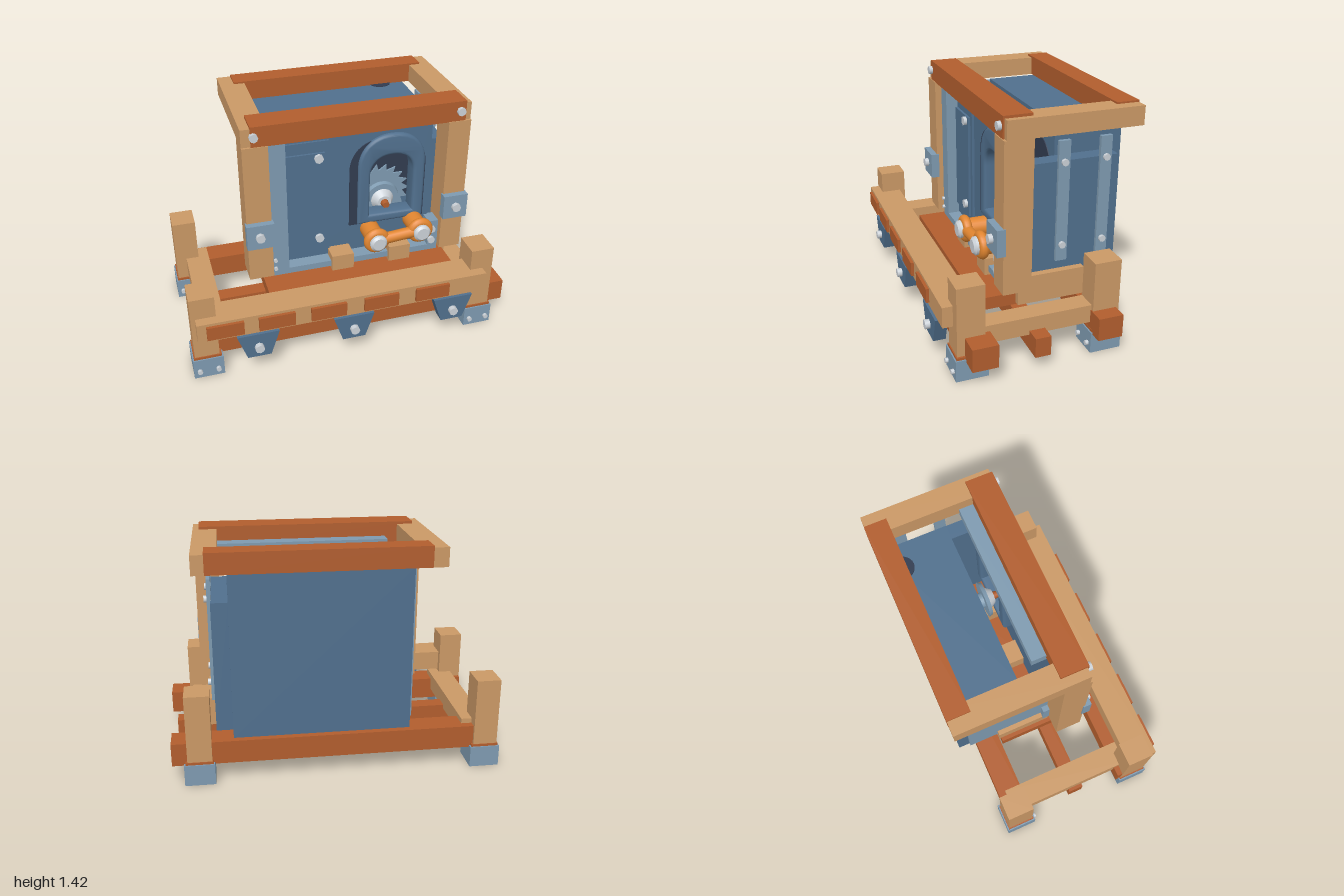
import * as THREE from 'three';
import { toCreasedNormals } from 'three/addons/utils/BufferGeometryUtils.js';

const mat = (name, color) => {
  const m = new THREE.MeshStandardMaterial({ color });
  m.name = name;
  return m;
};

export function createModel() {
  const model = new THREE.Group();
  model.name = 'sawMachine';
  const tan = mat('paleWood', 0xcb9966);
  const rust = mat('redWood', 0xb25e2e);
  const steel = mat('lightSteel', 0x7f9bb1);
  const blue = mat('blueSteel', 0x51708e);
  const dark = mat('darkInterior', 0x323c50);
  const orange = mat('orangePaint', 0xe28630);
  const silver = mat('silver', 0xccd2d8);

  const add = (name, geo, m, x = 0, y = 0, z = 0) => {
    const mesh = new THREE.Mesh(geo, m);
    mesh.name = name;
    mesh.position.set(x, y, z);
    model.add(mesh);
    return mesh;
  };
  // box given by its limits on each axis
  const box = (name, m, x0, x1, y0, y1, z0, z1) =>
    add(name, new THREE.BoxGeometry(x1 - x0, y1 - y0, z1 - z0), m, (x0 + x1) / 2, (y0 + y1) / 2, (z0 + z1) / 2);
  // cylinder along z, from z0 (radius r0) to z1 (radius r1)
  const rod = (name, m, x, y, z0, z1, r0, r1 = r0, n = 12) =>
    add(name, new THREE.CylinderGeometry(r1, r0, z1 - z0, n).rotateX(Math.PI / 2), m, x, y, (z0 + z1) / 2);
  const bolt = (x, y, z0, z1, r = 0.026) => rod('bolt', silver, x, y, z0, z1, r, r, 8);

  // base: feet, shims and corner posts
  for (const [x0, x1] of [[-1, -0.82], [0.72, 0.9]]) {
    for (const [z0, z1] of [[0.32, 0.51], [-0.485, -0.295]]) {
      box('foot', steel, x0, x1, 0, 0.13, z0, z1);
      box('shim', rust, x0 + 0.008, x1 - 0.008, 0.13, 0.145, z0 + 0.008, z1 - 0.008);
      box('cornerPost', tan, x0 + 0.015, x1 - 0.02, 0.13, 0.56, z0 + 0.013, z1 - 0.015);
      for (const x of [x0 + 0.035, x1 - 0.035]) bolt(x, 0.05, z1, z1 + 0.018, 0.015);
    }
  }

  // base: long beams and cross beams
  box('frontBeam', rust, -0.98, 1, 0.115, 0.255, 0.3, 0.45);
  box('middleBeam', rust, -0.94, 0.95, 0.085, 0.205, -0.025, 0.068);
  box('backBeam', rust, -0.9, 0.97, 0.12, 0.26, -0.455, -0.305);
  box('sideBeam', tan, -0.92, -0.775, 0.18, 0.29, -0.41, 0.4);
  box('sideBeam', tan, 0.74, 0.86, 0.18, 0.29, -0.31, 0.34);
  for (const x of [-0.26, 0.39]) box('crossBeam', tan, x - 0.07, x + 0.07, 0.18, 0.295, -0.31, 0.38);
  box('floorBoard', rust, -0.49, 0.7, 0.29, 0.365, -0.3, 0.32);
  for (const x of [0.01, 0.385]) box('mountingBlock', tan, x - 0.07, x + 0.07, 0.36, 0.47, -0.165, 0.185);

  // front rail with inset plates and hanging brackets
  box('frontRail', tan, -0.96, 0.815, 0.3, 0.425, 0.37, 0.555);
  for (const x of [-0.8, -0.5, -0.19, 0.135, 0.46]) {
    box('railPlate', rust, x - 0.107, x + 0.107, 0.32, 0.408, 0.55, 0.573);
  }
  const trapezoid = new THREE.Shape([[-0.125, 0.295], [-0.07, 0.132], [0.07, 0.132], [0.125, 0.295]]
    .map(([x, y]) => new THREE.Vector2(x, y)));
  for (const x of [-0.615, -0.035, 0.6]) {
    add('hangingBracket', new THREE.ExtrudeGeometry(trapezoid, { depth: 0.073, bevelEnabled: false }), blue, x, 0, 0.495);
    bolt(x, 0.205, 0.568, 0.598, 0.028);
  }

  // upper wooden frame
  for (const [x0, x1, bx] of [[-0.585, -0.435, -0.515], [0.65, 0.79, 0.72]]) {
    box('upright', tan, x0, x1, 0.415, 1.302, 0.033, 0.2);
    box('topSideRail', tan, x0, x1, 1.3, 1.41, -0.6, 0.185);
    box('uprightPlate', steel, x0 - 0.008, x1 + 0.008, 0.655, 0.815, 0.188, 0.24);
    bolt(bx, 0.737, 0.24, 0.265, 0.028);
    bolt(bx, 1.365, 0.19, 0.217);
  }
  box('lowerSideRail', tan, 0.66, 0.74, 0.305, 0.475, -0.31, 0.09);
  box('lowerSideRail', tan, -0.465, -0.435, 0.35, 0.45, -0.31, 0.03);
  box('sideClip', steel, -0.47, -0.435, 0.42, 0.58, -0.01, 0.033);
  box('topFrontRail', rust, -0.53, 0.755, 1.3, 1.425, 0.028, 0.195);
  box('topBackRail', rust, -0.5, 0.72, 1.3, 1.42, -0.602, -0.468);

  // cabinet
  box('cabinet', blue, -0.41, 0.605, 0.34, 1.3, -0.57, -0.165);
  box('leftPanel', steel, -0.435, -0.41, 0.38, 1.29, -0.5, 0.09);
  box('rightPanel', blue, 0.605, 0.7, 0.36, 1.12, -0.505, 0.033);
  for (const z of [-0.175, -0.423]) {
    box('sideStrip', steel, 0.695, 0.718, 0.53, 1.24, z - 0.034, z + 0.034);
    for (const y of [0.63, 1.12]) {
      const head = bolt(0.725, y, z - 0.01, z + 0.01, 0.02);
      head.rotation.y = Math.PI / 2;
    }
  }
  box('topRail', steel, -0.36, 0.65, 1.275, 1.34, -0.06, 0.04);
  box('sill', steel, -0.33, 0.585, 0.385, 0.425, 0.06, 0.16);
  box('leftFrontStrip', steel, -0.43, -0.33, 0.385, 1.3, 0.08, 0.16);
  box('rightFrontStrip', steel, 0.585, 0.65, 0.385, 0.6, 0.06, 0.16);
  for (const y of [0.465, 0.545]) bolt(0.605, y, 0.16, 0.18, 0.024);
  for (const y of [0.44, 0.5]) bolt(-0.415, y, 0.16, 0.175, 0.012);
  add('topPort', new THREE.CylinderGeometry(0.07, 0.07, 0.006, 24), dark, 0.455, 1.301, -0.49);

  // arched outlines for the opening and its guard
  const arch = (x0, x1, y0, y1, r, Type = THREE.Shape) => {
    const s = new Type();
    s.moveTo(x0, y0);
    s.lineTo(x1, y0);
    s.lineTo(x1, y1 - r);
    s.bezierCurveTo(x1, y1 - r * 0.4, x1 - r * 0.4, y1, x1 - r, y1);
    s.lineTo(x0 + r, y1);
    s.bezierCurveTo(x0 + r * 0.4, y1, x0, y1 - r * 0.4, x0, y1 - r);
    s.lineTo(x0, y0);
    return s;
  };
  const ring = (outer, hole) => {
    const s = arch(...outer);
    s.holes.push(arch(...hole, THREE.Path));
    return s;
  };
  const extrude = (s, depth, bevel = 0) => toCreasedNormals(new THREE.ExtrudeGeometry(s, {
    depth, curveSegments: 12, bevelEnabled: bevel > 0, bevelSize: bevel, bevelThickness: bevel, bevelSegments: 3,
  }), 0.7);

  // front panel with its opening, dark rim and guard
  add('frontPanel', extrude(ring([-0.41, 0.605, 0.37, 1.29, 0.001], [0.16, 0.53, 0.63, 1.16, 0.17]), 0.03), blue, 0, 0, 0.04);
  add('bladeOpening', extrude(arch(0.1, 0.56, 0.62, 1.18, 0.17), 0.006), dark, 0, 0, -0.166);
  add('guardRim', extrude(ring([0.08, 0.57, 0.61, 1.19, 0.2], [0.19, 0.5, 0.665, 1.1, 0.14]), 0.008), dark, 0, 0, 0.069);
  add('guardArch', extrude(ring([0.15, 0.545, 0.635, 1.2, 0.19], [0.19, 0.505, 0.655, 1.1, 0.15]), 0.08, 0.018), blue, 0, 0, 0);

  // door
  box('door', blue, -0.33, -0.05, 0.43, 1.23, 0.065, 0.085);
  box('doorPanel', blue, -0.325, -0.08, 0.5, 1.16, 0.08, 0.1);
  for (const y of [0.575, 1.13]) bolt(-0.12, y, 0.1, 0.12, 0.028);

  // toothed blade and its hub
  const blade = new THREE.Shape();
  const teeth = 20;
  for (let i = 0; i < teeth; i++) {
    const a = (i / teeth) * Math.PI * 2;
    const tip = a + (Math.PI * 2 / teeth) * 0.2;
    blade[i ? 'lineTo' : 'moveTo'](Math.cos(a) * 0.165, Math.sin(a) * 0.165);
    blade.lineTo(Math.cos(tip) * 0.21, Math.sin(tip) * 0.21);
  }
  blade.closePath();
  add('sawBlade', extrude(blade, 0.012), steel, 0.34, 0.69, -0.136);
  rod('axle', steel, 0.34, 0.69, -0.166, -0.06, 0.05, 0.05, 20);
  rod('bladeFlange', steel, 0.34, 0.69, -0.07, -0.045, 0.118, 0.11, 24);
  rod('hub', silver, 0.34, 0.69, -0.045, 0, 0.075, 0.045, 20);
  rod('hubPin', rust, 0.34, 0.69, 0, 0.035, 0.026, 0.022);

  // two-knob handle
  const knobs = [new THREE.Vector3(0.215, 0.567, 0.222), new THREE.Vector3(0.5, 0.592, 0.222)];
  for (const p of knobs) {
    rod('knobBase', orange, p.x, p.y, 0.07, 0.225, 0.06, 0.06, 24);
    add('knobRing', new THREE.TorusGeometry(0.056, 0.028, 12, 28), orange, p.x, p.y, p.z);
    rod('knobCap', silver, p.x, p.y, 0.22, 0.265, 0.054, 0.054, 24);
    rod('knobTip', silver, p.x, p.y, 0.265, 0.278, 0.054, 0.04, 24);
  }
  add('handleBar', new THREE.TubeGeometry(new THREE.LineCurve3(...knobs), 1, 0.036, 14), orange);

  return model;
}
